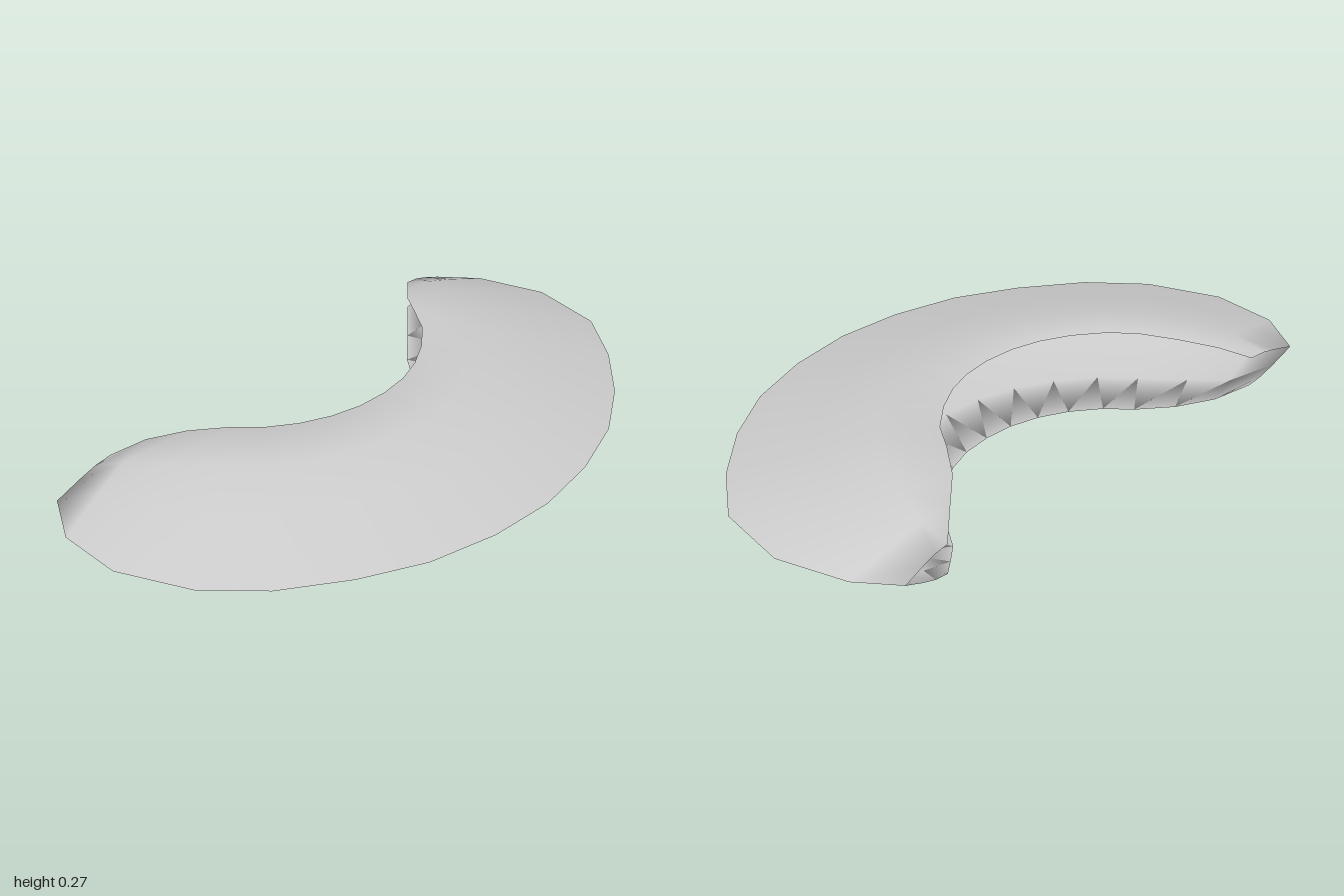
import * as THREE from 'three';
import { mergeVertices } from 'three/addons/utils/BufferGeometryUtils.js';

// Stations along the crescent: outer rim [x, z], inner lip [x, z]
const OUTER = [[-0.87, -0.55], [-0.975, -0.4], [-1, -0.185], [-0.92, 0.045], [-0.79, 0.21], [-0.61, 0.35],
  [-0.42, 0.457], [-0.205, 0.52], [0.01, 0.543], [0.23, 0.52], [0.445, 0.457], [0.635, 0.35],
  [0.805, 0.21], [0.945, 0.045], [1, -0.195], [0.945, -0.415], [0.86, -0.535]];
const LIP = [[-0.655, -0.55], [-0.575, -0.48], [-0.495, -0.39], [-0.42, -0.29], [-0.36, -0.215], [-0.275, -0.147],
  [-0.185, -0.1], [-0.09, -0.072], [0.01, -0.063], [0.11, -0.072], [0.2, -0.1], [0.29, -0.147],
  [0.38, -0.215], [0.445, -0.3], [0.52, -0.39], [0.607, -0.46], [0.7, -0.535]];
const TIP_HEIGHTS = [0.047, 0.09, 0.117];
const HALF = 0.133;
// Section from rim to lip: [fraction across, fraction of height]
const PROFILE = [[0, 0], [0.42, 0.56], [0.71, 0.88], [1, 1]];

// One half of the pouch (side = 1 upper, -1 lower): outer skin plus a close inner skin,
// joined along the lip and at both ends
function halfShell(side) {
  const n = OUTER.length, m = PROFILE.length;
  const positions = [], index = [];
  for (const inner of [false, true]) {
    const base = positions.length / 3;
    for (let i = 0; i < n; i++) {
      const fromEnd = Math.min(i, n - 1 - i);
      const height = TIP_HEIGHTS[fromEnd] ?? HALF;
      PROFILE.forEach(([t, h], j) => {
        const inset = inner && fromEnd > 0 && j < m - 1;
        const f = inset ? t + 0.015 : t;
        const k = inset ? h * 0.98 : h;
        positions.push(
          THREE.MathUtils.lerp(OUTER[i][0], LIP[i][0], f),
          HALF + side * height * k,
          THREE.MathUtils.lerp(OUTER[i][1], LIP[i][1], f));
      });
    }
    const flip = inner !== (side < 0);
    for (let i = 0; i < n - 1; i++) {
      for (let j = 0; j < m - 1; j++) {
        const a = base + i * m + j, b = a + m, c = b + 1, d = a + 1;
        if (flip) index.push(a, c, b, a, d, c);
        else index.push(a, b, c, a, c, d);
      }
    }
  }
  let geometry = new THREE.BufferGeometry();
  geometry.setAttribute('position', new THREE.Float32BufferAttribute(positions, 3));
  geometry.setIndex(index);
  geometry = mergeVertices(geometry, 1e-4);
  geometry.computeVertexNormals();
  return geometry;
}

export function createModel() {
  const group = new THREE.Group();
  group.name = 'foldedCrescentShell';
  const material = new THREE.MeshStandardMaterial({ color: 0xcccccc, side: THREE.DoubleSide });
  for (const [name, side] of [['upperShell', 1], ['lowerShell', -1]]) {
    const mesh = new THREE.Mesh(halfShell(side), material);
    mesh.name = name;
    group.add(mesh);
  }
  return group;
}
